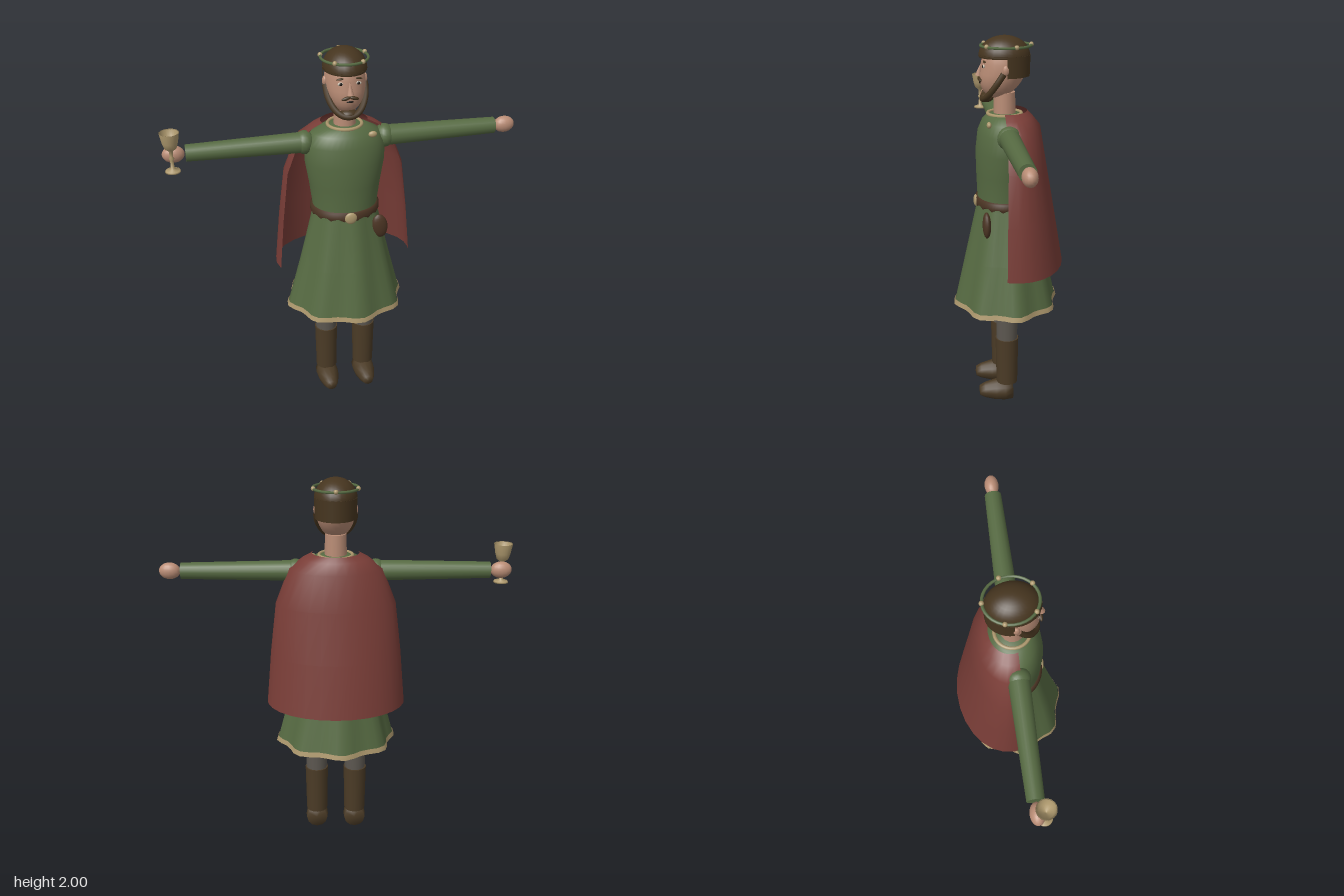
import * as THREE from 'three';

const mat = (name, color, side = THREE.FrontSide) => {
  const m = new THREE.MeshStandardMaterial({ color, side });
  m.name = name;
  return m;
};

// Rings [y, rx, rz, zCentre, flute depth] from bottom to top, joined into a smooth skin
function loft(rings, seg, start = 0, arc = Math.PI * 2, wave = 0) {
  const closed = arc > 6.28, n = closed ? seg : seg + 1;
  const pos = [], idx = [];
  rings.forEach(([y, rx, rz, zc = 0, amp = 0], k) => {
    for (let i = 0; i < n; i++) {
      const a = start + arc * i / seg;
      const f = 1 + amp * Math.cos(8 * (a - 1.45));
      const dy = k === 0 ? wave * Math.cos(a * 16) : 0;
      pos.push(Math.cos(a) * rx * f, y + dy, zc + Math.sin(a) * rz * f);
    }
  });
  for (let k = 0; k < rings.length - 1; k++) {
    for (let i = 0; i < seg; i++) {
      const a = k * n + i, b = k * n + (i + 1) % n;
      idx.push(a, a + n, b, b, a + n, b + n);
    }
  }
  const g = new THREE.BufferGeometry();
  g.setAttribute('position', new THREE.Float32BufferAttribute(pos, 3));
  g.setIndex(idx);
  g.computeVertexNormals();
  return g;
}

const ball = (rx, ry, rz, w = 16, h = 12) => new THREE.SphereGeometry(1, w, h).scale(rx, ry, rz);

export function createModel() {
  const green = mat('tunic green', 0x566a42, THREE.DoubleSide);
  const red = mat('cape red', 0x793d37, THREE.DoubleSide);
  const skin = mat('skin', 0xb98c75);
  const hairMat = mat('hair brown', 0x46351f);
  const leather = mat('belt leather', 0x4b3423, THREE.DoubleSide);
  const bootMat = mat('boot brown', 0x4b3b26);
  const gold = mat('pale gold', 0xad986d, THREE.DoubleSide);
  const grey = mat('hose grey', 0x5c5750);
  const dark = mat('eye dark', 0x1d1712);
  const white = mat('eye white', 0xcfc6b6);

  const model = new THREE.Group();
  model.name = 'figure';
  const add = (name, geo, material, x = 0, y = 0, z = 0, parent = model) => {
    const m = new THREE.Mesh(geo, material);
    m.name = name;
    m.position.set(x, y, z);
    parent.add(m);
    return m;
  };

  // Tunic with fluted skirt, gold hem, belt
  add('tunic', loft([
    [0.58, 0.305, 0.267, 0.012, 0.055], [0.85, 0.238, 0.208, 0.014, 0.04],
    [1.12, 0.175, 0.15, 0.015, 0.015], [1.17, 0.168, 0.143, 0.015], [1.3, 0.185, 0.148, 0.015],
    [1.42, 0.205, 0.15, 0.015], [1.52, 0.205, 0.138, 0.015], [1.575, 0.17, 0.115, 0.015],
    [1.605, 0.11, 0.088, 0.015], [1.615, 0.05, 0.05, 0.015],
  ], 40), green);
  add('hem', loft([[0.577, 0.311, 0.273, 0.012, 0.055], [0.603, 0.304, 0.267, 0.012, 0.054]], 40), gold);
  add('belt', loft([
    [1.136, 0.176, 0.152, 0.015], [1.142, 0.181, 0.156, 0.015],
    [1.17, 0.18, 0.154, 0.015], [1.176, 0.168, 0.143, 0.015],
  ], 64, 0, Math.PI * 2, 0.009), leather);
  add('buckle', ball(0.032, 0.032, 0.012), gold, 0, 1.148, 0.168);
  add('pouch', ball(0.042, 0.068, 0.022), leather, 0.163, 1.063, 0.128).rotation.z = 0.15;
  add('collar', new THREE.TorusGeometry(0.086, 0.009, 6, 28).rotateX(Math.PI / 2), gold, 0, 1.609, 0.015);
  add('brooch', ball(0.022, 0.016, 0.012), gold, 0.122, 1.577, 0.108);

  // Cape, open at the front
  add('cape', loft([
    [0.82, 0.367, 0.262, -0.028], [1.1, 0.342, 0.22, -0.022], [1.365, 0.31, 0.178, -0.017],
    [1.55, 0.238, 0.152, -0.013], [1.6, 0.17, 0.12, -0.005], [1.625, 0.12, 0.1, 0],
  ], 16, Math.PI - 0.285, Math.PI + 0.57), red);

  for (const s of [1, -1]) {
    const side = s > 0 ? 'left' : 'right';
    // Arms
    add(side + 'Sleeve', new THREE.CylinderGeometry(0.042, 0.053, 0.59, 18)
      .rotateZ(-s * Math.PI / 2), green, s * 0.495, 1.527, 0.018);
    add(side + 'Shoulder', ball(0.052, 0.06, 0.06), green, s * 0.205, 1.527, 0.018);
    add(side + 'Hand', ball(0.055, 0.043, 0.036), skin, s * 0.848, 1.527, 0.018);
    // Legs and boots
    add(side + 'Leg', new THREE.CylinderGeometry(0.06, 0.056, 0.4, 16), grey, s * 0.107, 0.52, 0.017);
    add(side + 'Boot', new THREE.CylinderGeometry(0.063, 0.058, 0.27, 16), bootMat, s * 0.107, 0.252, 0.017);
    const foot = new THREE.LatheGeometry([
      [0, -0.012], [0.058, -0.012], [0.062, 0.03], [0.058, 0.08], [0.042, 0.14], [0.028, 0.168], [0, 0.172],
    ].map(p => new THREE.Vector2(...p)), 12).rotateX(Math.PI / 2);
    add(side + 'Foot', foot, bootMat, s * 0.107, 0.064, 0);
  }

  // Head: egg with the jaw pushed forward
  const head = new THREE.Group();
  head.name = 'head';
  model.add(head);
  const skull = ball(0.1, 0.15, 0.118, 24, 18);
  const p = skull.attributes.position;
  for (let i = 0; i < p.count; i++) {
    if (p.getY(i) < 0) p.setZ(i, p.getZ(i) - p.getY(i) * 0.25);
  }
  skull.computeVertexNormals();
  add('skull', skull, skin, 0, 1.84, 0.018, head);
  add('neck', new THREE.CylinderGeometry(0.054, 0.058, 0.15, 16), skin, 0, 1.645, 0.015, head);
  const faceZ = (x, y) => {
    const d = (y - 1.84) / 0.15;
    return 0.018 + 0.118 * Math.sqrt(Math.max(0, 1 - (x / 0.1) ** 2 - d * d)) + Math.max(0, 1.84 - y) * 0.25;
  };
  const nose = new THREE.ConeGeometry(0.017, 0.065, 8);
  add('nose', nose, skin, 0, 1.835, 0.14, head).rotation.x = -0.2;
  add('mouth', ball(0.018, 0.005, 0.004, 10, 6), dark, 0, 1.768, faceZ(0, 1.768), head);
  for (const s of [1, -1]) {
    const x = s * 0.043;
    add('ear', ball(0.012, 0.026, 0.017, 10, 8), skin, s * 0.1, 1.84, 0.02, head);
    add('eye', ball(0.015, 0.009, 0.006, 10, 8), white, x, 1.855, faceZ(x, 1.855), head);
    add('pupil', ball(0.008, 0.008, 0.004, 8, 6), dark, x, 1.855, faceZ(x, 1.855) + 0.004, head);
    add('brow', ball(0.021, 0.005, 0.007, 10, 6), hairMat, x, 1.878, faceZ(x, 1.878), head).rotation.z = -s * 0.12;
    add('moustache', ball(0.024, 0.009, 0.009, 10, 8), hairMat, s * 0.02, 1.787, faceZ(s * 0.02, 1.787) + 0.002, head)
      .rotation.z = -s * 0.25;
  }

  // Beard along the jaw
  const half = [[0.098, 1.825, 0.03], [0.092, 1.77, 0.066], [0.068, 1.72, 0.1], [0.035, 1.693, 0.12]];
  const path = new THREE.CatmullRomCurve3([
    ...half.map(([x, y, z]) => new THREE.Vector3(-x, y, z)),
    new THREE.Vector3(0, 1.686, 0.126),
    ...half.slice().reverse().map(([x, y, z]) => new THREE.Vector3(x, y, z)),
  ]);
  add('beard', new THREE.TubeGeometry(path, 36, 0.016, 8), hairMat, 0, 0, 0, head);
  add('chinBeard', ball(0.045, 0.024, 0.034), hairMat, 0, 1.694, 0.105, head);

  // Hair cap and straight back
  add('hairCap', new THREE.SphereGeometry(1, 24, 10, 0, Math.PI * 2, 0, Math.PI / 2).scale(0.108, 0.1, 0.13),
    hairMat, 0, 1.9, 0.016, head);
  add('hairFringe', new THREE.CylinderGeometry(0.108, 0.105, 0.012, 24).scale(1, 1, 1.2), hairMat, 0, 1.9, 0.016, head);
  add('hairBack', new THREE.CylinderGeometry(0.108, 0.105, 0.105, 16, 1, false, Math.PI / 2, Math.PI)
    .scale(1, 1, 1.19), hairMat, 0, 1.853, 0.013, head);

  // Leafy circlet with beads
  add('circlet', new THREE.TorusGeometry(0.115, 0.007, 6, 32).rotateX(Math.PI / 2).scale(1, 1, 1.1),
    green, 0, 1.95, 0.008, head);
  for (let i = 0; i < 5; i++) {
    const a = -Math.PI / 2 + i * Math.PI * 0.4;
    add('circletBead', ball(0.012, 0.012, 0.012, 10, 8), gold,
      Math.cos(a) * 0.116, 1.953, 0.008 + Math.sin(a) * 0.128, head);
  }

  // Goblet in the right hand
  const cup = [[0, 0], [0.038, 0], [0.036, 0.008], [0.01, 0.018], [0.008, 0.06], [0.014, 0.07], [0.008, 0.08],
    [0.01, 0.11], [0.03, 0.125], [0.039, 0.155], [0.048, 0.205], [0.043, 0.203], [0.034, 0.16], [0, 0.135]];
  add('goblet', new THREE.LatheGeometry(cup.map(q => new THREE.Vector2(...q)), 20), gold, -0.858, 1.45, 0.052);

  return model;
}
